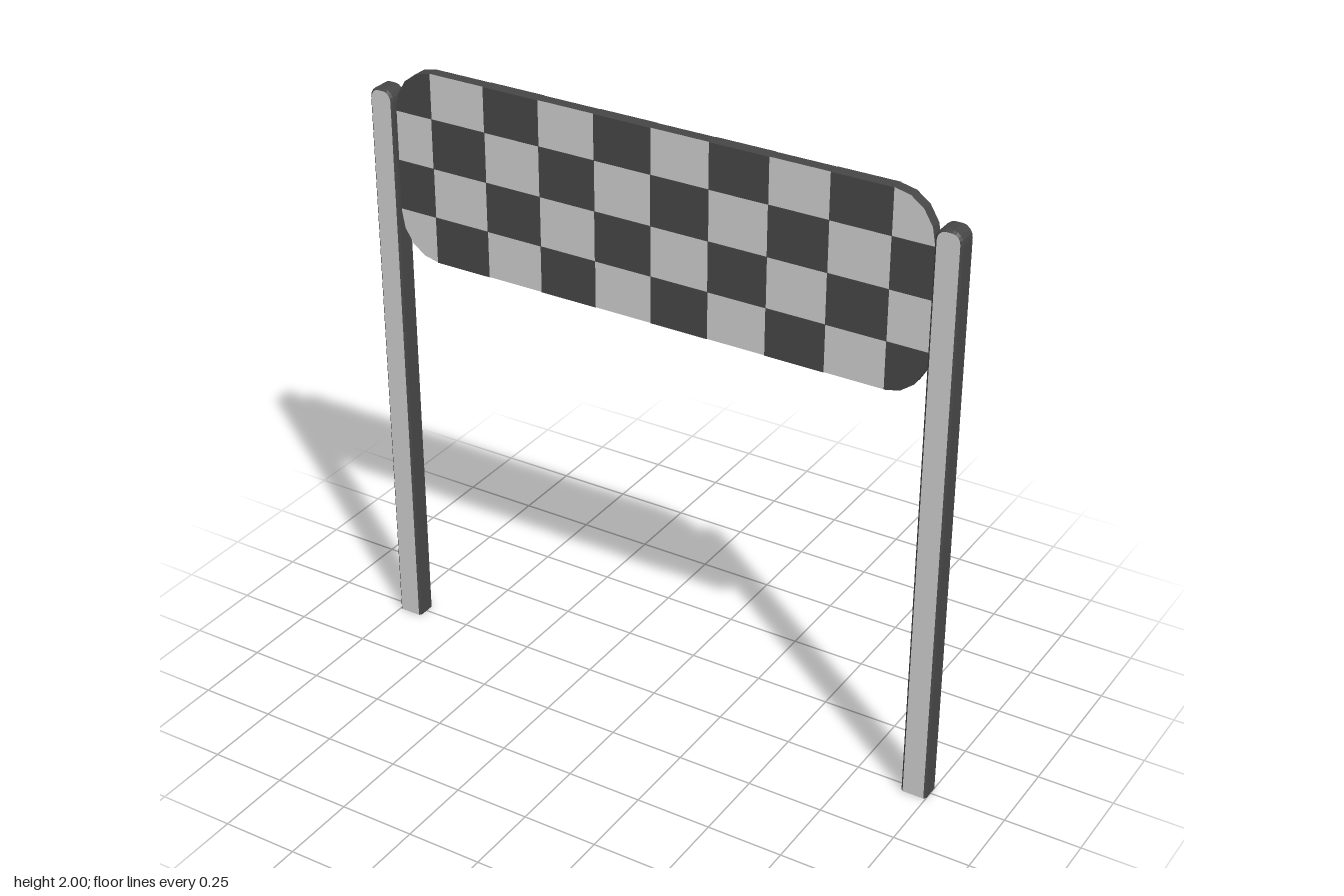
import * as THREE from 'three';

const light = new THREE.MeshStandardMaterial({ color: 0xcccccc });
light.name = 'light grey';
const dark = new THREE.MeshStandardMaterial({ color: 0x464646 });
dark.name = 'dark grey';

// Banner grid: the outer cells hold the rounded corners
const COLS = [-0.912, ...Array.from({ length: 9 }, (_, i) => -0.78 + 0.195 * i), 0.912];
const ROWS = [2, 1.853, 1.689, 1.525, 1.37];

// Rectangle whose named corners (0 = bottom left, counter-clockwise) are cut by an elliptical arc
function roundedRect(x0, y0, x1, y1, rx, ry, corners) {
  const pts = [];
  [[x0, y0, 1, 1], [x1, y0, -1, 1], [x1, y1, -1, -1], [x0, y1, 1, -1]].forEach(([x, y, sx, sy], i) => {
    if (!corners.includes(i)) return pts.push(new THREE.Vector2(x, y));
    for (let k = 0; k <= 4; k++) {
      const a = Math.PI + i * Math.PI / 2 + k * Math.PI / 8;
      pts.push(new THREE.Vector2(x + sx * rx + rx * Math.cos(a), y + sy * ry + ry * Math.sin(a)));
    }
  });
  return new THREE.Shape(pts);
}

// Plate centred on z = 0
function plate(shape, depth, materials, name) {
  const geo = new THREE.ExtrudeGeometry(shape, { depth, bevelEnabled: false });
  geo.translate(0, 0, -depth / 2);
  const mesh = new THREE.Mesh(geo, materials);
  mesh.name = name;
  return mesh;
}

function createBanner() {
  const banner = new THREE.Group();
  banner.name = 'banner';
  const [rx, ry] = [0.132, 0.147];
  const outline = roundedRect(COLS[0], ROWS[4], COLS[10], ROWS[0], rx, ry, [0, 1, 2, 3]);
  banner.add(plate(outline, 0.039, [light, dark], 'bannerPanel'));

  // Dark squares, showing on both faces
  for (let r = 0; r < 4; r++) {
    for (let c = r % 2; c < 10; c += 2) {
      const corners = r === 0 && c === 0 ? [3] : r === 3 && c === 9 ? [1] : [];
      const cell = roundedRect(COLS[c], ROWS[r + 1], COLS[c + 1], ROWS[r], rx, ry, corners);
      banner.add(plate(cell, 0.043, dark, 'darkSquare'));
    }
  }
  return banner;
}

// Post with light front and back, dark bevelled sides and a rounded top
function createPost(side) {
  const bevel = 0.007, w = 0.0425 - bevel, h = 1.92 - bevel;
  const shape = roundedRect(-w, 0, w, h, 0.026, 0.03, [2, 3]);
  const geo = new THREE.ExtrudeGeometry(shape, {
    depth: 0.07 - 2 * bevel, bevelEnabled: true, bevelSegments: 1, bevelSize: bevel, bevelThickness: bevel,
  });
  geo.translate(0, 0, bevel - 0.035);
  // Flatten the foot onto the ground
  const pos = geo.attributes.position;
  for (let i = 0; i < pos.count; i++) if (pos.getY(i) < 0.02) pos.setY(i, 0);
  geo.computeVertexNormals();
  const post = new THREE.Mesh(geo, [light, dark]);
  post.position.x = side * 0.9575;
  post.name = side > 0 ? 'leftPost' : 'rightPost';
  return post;
}

export function createModel() {
  const model = new THREE.Group();
  model.name = 'finishGate';
  model.add(createBanner(), createPost(1), createPost(-1));
  return model;
}
